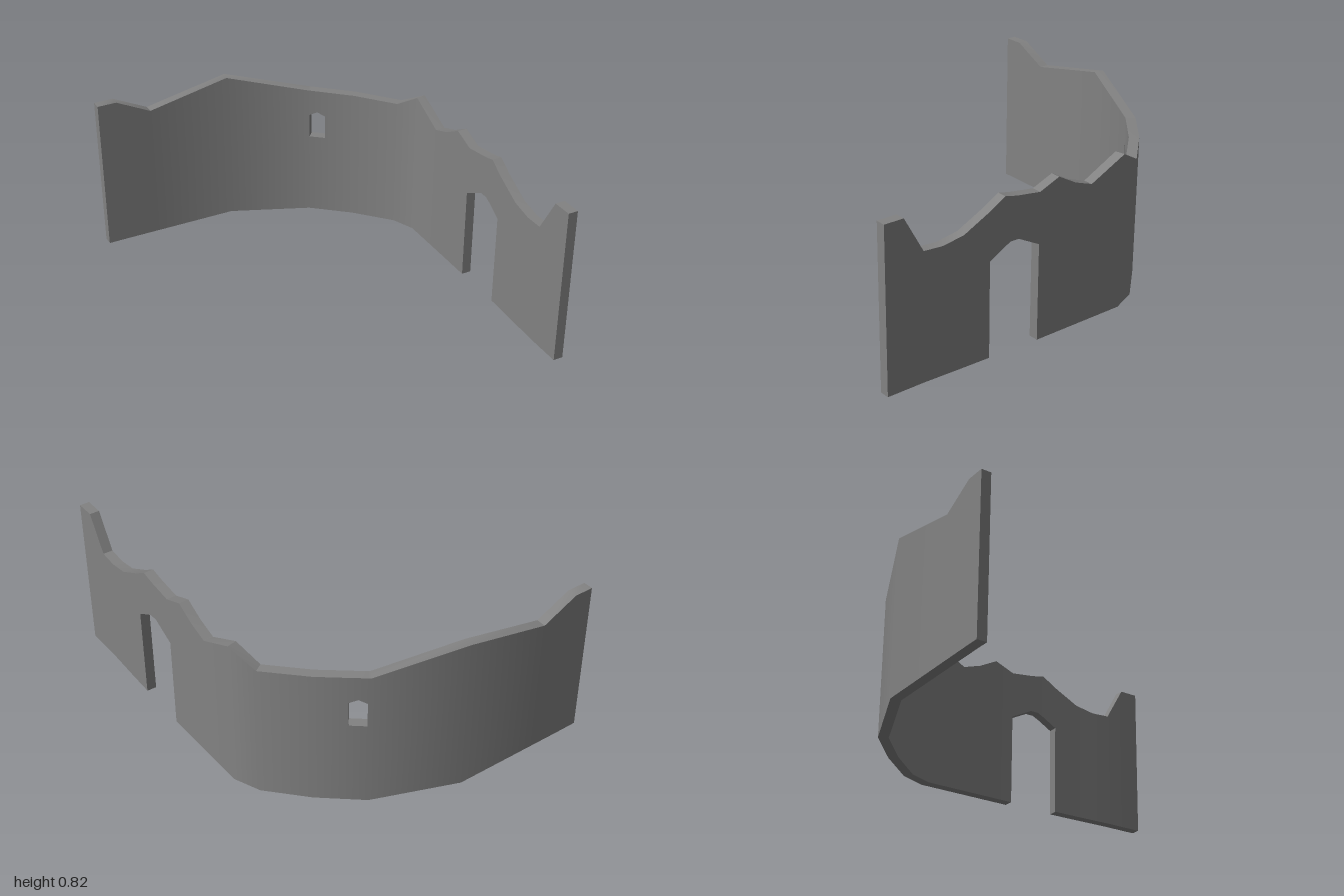
import * as THREE from 'three';
import { mergeGeometries, toCreasedNormals } from 'three/addons/utils/BufferGeometryUtils.js';

const THICK = 0.05;

// Outer wall line: [x, z, broken top height, opening bottom, opening top]
const STATIONS = [
  [-0.78, -1.0, 0.82], [-0.68, -1.0, 0.82], [-0.5, -0.998, 0.73],
  [-0.06, -0.993, 0.82], [0.355, -0.825, 0.725],
  // window
  [0.365, -0.817, 0.725, 0.45, 0.58], [0.397, -0.79, 0.724, 0.45, 0.6], [0.43, -0.762, 0.723, 0.45, 0.58],
  // curved corner
  [0.55, -0.66, 0.72], [0.72, -0.475, 0.713], [0.775, -0.34, 0.79],
  [0.775, -0.14, 0.695], [0.775, -0.04, 0.73], [0.775, 0.06, 0.785],
  // doorway
  [0.775, 0.17, 0.742, 0, 0.487], [0.775, 0.26, 0.755, 0, 0.534], [0.775, 0.29, 0.759, 0, 0.55],
  [0.775, 0.335, 0.768, 0, 0.55], [0.775, 0.37, 0.777, 0, 0.534], [0.772, 0.45, 0.727, 0.004, 0.487],
  // broken end
  [0.768, 0.59, 0.655], [0.764, 0.7, 0.635], [0.76, 0.8, 0.64], [0.76, 0.9, 0.82], [0.76, 1.0, 0.82],
];

// Add the mitred inner point and the smooth wall normal to each station
function makeStations() {
  const last = STATIONS.length - 1;
  const dir = (a, b) => new THREE.Vector2(b[0] - a[0], b[1] - a[1]).normalize();
  const stations = STATIONS.map((s, i) => {
    const d0 = dir(STATIONS[Math.max(i - 1, 0)], STATIONS[Math.max(i, 1)]);
    const d1 = dir(STATIONS[Math.min(i, last - 1)], STATIONS[Math.min(i + 1, last)]);
    const m = d0.clone().add(d1).normalize();
    const t = THICK / m.dot(d0);
    return {
      outer: y => [s[0], y, s[1]],
      inner: y => [s[0] - m.y * t, y, s[1] + m.x * t],
      normal: new THREE.Vector3(m.y, 0, -m.x),
      base: i < 4 || i > last - 6 ? 0.005 : 0,
      top: s[2], sill: s[3], head: s[4], open: s.length > 3,
    };
  });
  // Shade evenly across the openings, from solid wall to solid wall
  const place = i => new THREE.Vector2(STATIONS[i][0], STATIONS[i][1]);
  stations.forEach((s, i) => {
    if (!s.open) return;
    let a = i, b = i;
    while (stations[a].open) a--;
    while (stations[b].open) b++;
    const f = place(a).distanceTo(place(i)) / place(a).distanceTo(place(b));
    s.normal.lerpVectors(stations[a].normal, stations[b].normal, f).normalize();
  });
  return stations;
}

function wallGeometry() {
  const sides = [], normals = [], rims = [];
  const quad = (list, a, b, c, d) => list.push(...a, ...b, ...c, ...a, ...c, ...d);
  const rim = (...corners) => quad(rims, ...corners);

  // One block of masonry between two stations
  const block = (p, q, lo, hi) => {
    const [a, b, c, d] = [lo(p), lo(q), hi(p), hi(q)];
    const [np, nq] = [p.normal.toArray(), q.normal.toArray()];
    const [ip, iq] = [np.map(v => -v), nq.map(v => -v)];
    quad(sides, q.outer(b), p.outer(a), p.outer(c), q.outer(d));
    quad(normals, nq, np, np, nq);
    quad(sides, p.inner(a), q.inner(b), q.inner(d), p.inner(c));
    quad(normals, ip, iq, iq, ip);
    rim(q.outer(d), p.outer(c), p.inner(c), q.inner(d));
    rim(p.outer(a), q.outer(b), q.inner(b), p.inner(a));
  };
  // Wall ends and jambs
  const startCap = (s, lo, hi) => rim(s.outer(lo), s.inner(lo), s.inner(hi), s.outer(hi));
  const endCap = (s, lo, hi) => rim(s.inner(lo), s.outer(lo), s.outer(hi), s.inner(hi));

  const st = makeStations();
  for (let i = 0; i < st.length - 1; i++) {
    const p = st[i], q = st[i + 1];
    if (!(p.open && q.open)) {
      block(p, q, s => s.base, s => s.top);
      continue;
    }
    block(p, q, s => s.head, s => s.top);
    if (p.sill > 0) block(p, q, s => s.base, s => s.sill);
    if (!st[i - 1].open) endCap(p, p.sill, p.head);
    if (!st[i + 2].open) startCap(q, q.sill, q.head);
  }
  const first = st[0], end = st[st.length - 1];
  startCap(first, first.base, first.top);
  endCap(end, end.base, end.top);

  const sideGeo = new THREE.BufferGeometry();
  sideGeo.setAttribute('position', new THREE.Float32BufferAttribute(sides, 3));
  sideGeo.setAttribute('normal', new THREE.Float32BufferAttribute(normals, 3));
  const rimGeo = new THREE.BufferGeometry();
  rimGeo.setAttribute('position', new THREE.Float32BufferAttribute(rims, 3));
  return mergeGeometries([sideGeo, toCreasedNormals(rimGeo, 0.5)]);
}

export function createModel() {
  const group = new THREE.Group();
  group.name = 'ruinedWall';
  const wall = new THREE.Mesh(wallGeometry(), new THREE.MeshStandardMaterial({ color: 0x828282 }));
  wall.name = 'curvedWall';
  group.add(wall);
  return group;
}
